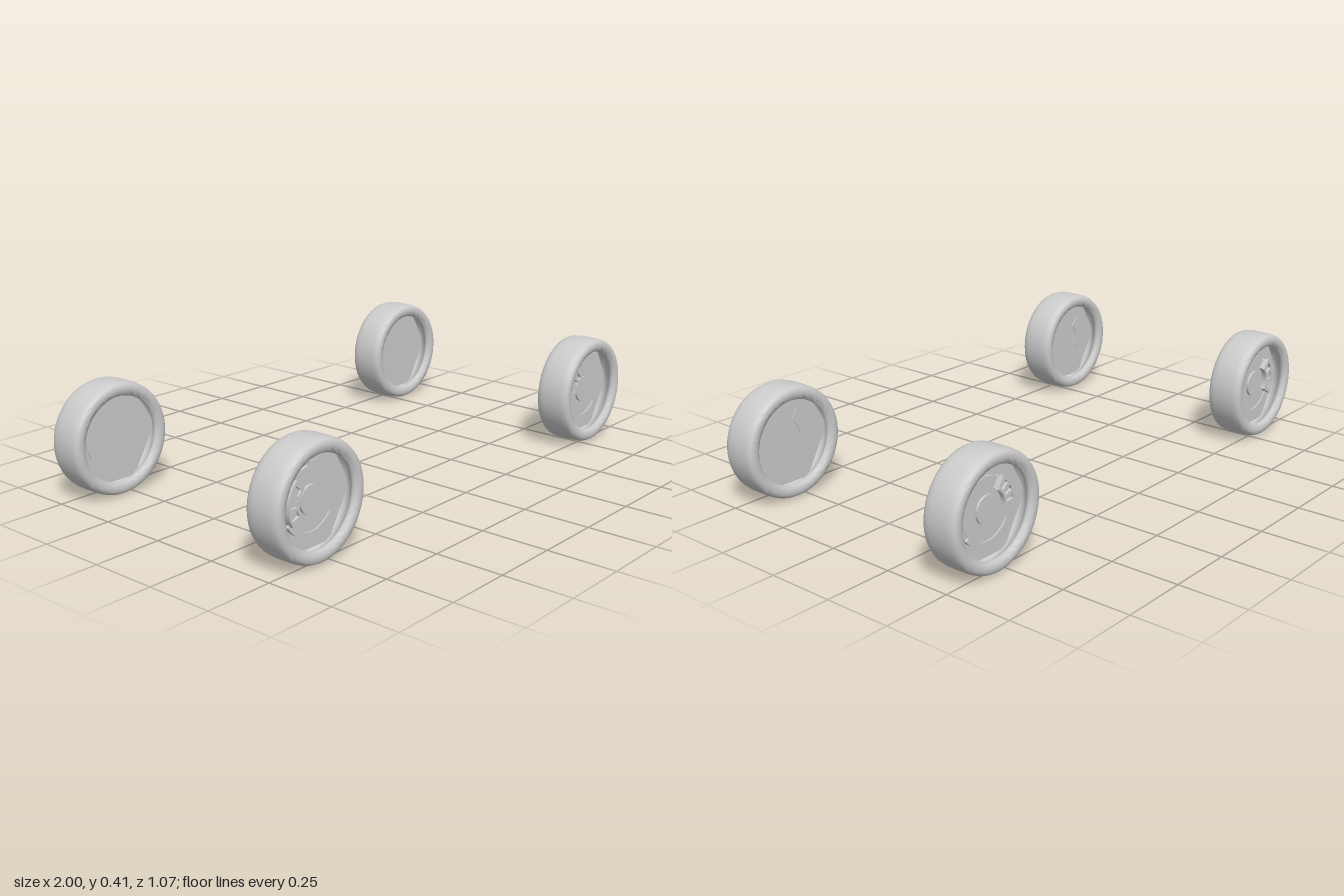
import * as THREE from 'three';
import { toCreasedNormals } from 'three/addons/utils/BufferGeometryUtils.js';

const grey = new THREE.MeshStandardMaterial({ color: 0xcccccc });
const rad = THREE.MathUtils.degToRad;

function part(name, geometry, z, parent) {
  const mesh = new THREE.Mesh(geometry, grey);
  mesh.name = name;
  mesh.position.z = z;
  parent.add(mesh);
  return mesh;
}

// Disc or polygonal plate facing z
function disc(r, depth, sides = 48) {
  return toCreasedNormals(new THREE.CylinderGeometry(r, r, depth, sides).rotateX(Math.PI / 2), 0.6);
}

// Part of a flat ring between two angles in degrees, centred in depth
function arcBand(rIn, rOut, from, to, depth) {
  const s = new THREE.Shape();
  s.absarc(0, 0, rOut, rad(from), rad(to), false);
  s.absarc(0, 0, rIn, rad(to), rad(from), true);
  return new THREE.ExtrudeGeometry(s, { depth, bevelEnabled: false, curveSegments: 32 })
    .translate(0, 0, -depth / 2);
}

// Hollow tyre: rounded outside, lip around the opening, flared cavity
function tyreGeometry() {
  const half = [[0.205, 0], [0.2045, 0.035], [0.202, 0.053], [0.197, 0.063], [0.188, 0.0675],
    [0.177, 0.068], [0.166, 0.0655], [0.159, 0.061], [0.155, 0.053], [0.157, 0.046],
    [0.168, 0.034], [0.182, 0.02], [0.188, 0]];
  const v = (r, z) => new THREE.Vector2(r, z);
  const front = half.map(([r, z]) => v(r, z));
  const back = half.slice(0, -1).reverse().map(([r, z]) => v(r, -z));
  const lathe = new THREE.LatheGeometry([...front, ...back], 64).rotateX(Math.PI / 2);
  return toCreasedNormals(lathe, 0.9);
}

// Brake caliper lying along a curve, with two windows in its face
function addCaliper(wheel, angle, span, side) {
  const caliper = new THREE.Group();
  caliper.name = 'brakeCaliper';
  const from = angle - span / 2, to = angle + span / 2;
  part('caliperBody', arcBand(0.07, 0.112, from, to, 0.03), side * 0.009, caliper);
  for (const r of [0.067, 0.107])
    part('caliperRail', arcBand(r, r + 0.009, from, to, 0.012), side * 0.028, caliper);
  for (const t of [0, 0.33, 0.67, 1]) {
    const a = from + t * (span - 8);
    part('caliperBridge', arcBand(0.072, 0.11, a, a + 8, 0.012), side * 0.028, caliper);
  }
  wheel.add(caliper);
}

function makeWheel(side, caliperAngle, caliperSpan) {
  const wheel = new THREE.Group();
  part('tyre', tyreGeometry(), 0, wheel);
  // six-sided plate closing the middle of the tyre, corners at left and right
  part('backPlate', disc(0.196, 0.006, 6).rotateZ(Math.PI / 2), 0, wheel);
  part('brakeDisc', disc(0.108, 0.012), side * 0.007, wheel);
  part('discRim', arcBand(0.1, 0.123, -145, 90, 0.01), side * 0.006, wheel);
  part('discGuard', arcBand(0.107, 0.123, -148, -38, 0.01), side * 0.013, wheel);
  part('hub', disc(0.05, 0.016), side * 0.014, wheel);
  addCaliper(wheel, caliperAngle, caliperSpan, side);
  return wheel;
}

export function createModel() {
  const model = new THREE.Group();
  model.name = 'wheelSet';
  for (const side of [1, -1]) {
    for (const x of [1, -1]) {
      const wheel = x > 0 ? makeWheel(side, 152, 62) : makeWheel(side, 172, 80);
      wheel.name = (side > 0 ? 'front' : 'back') + (x > 0 ? 'Left' : 'Right') + 'Wheel';
      wheel.position.set(x * 0.795, 0.207, side * 0.468);
      model.add(wheel);
    }
  }
  return model;
}
